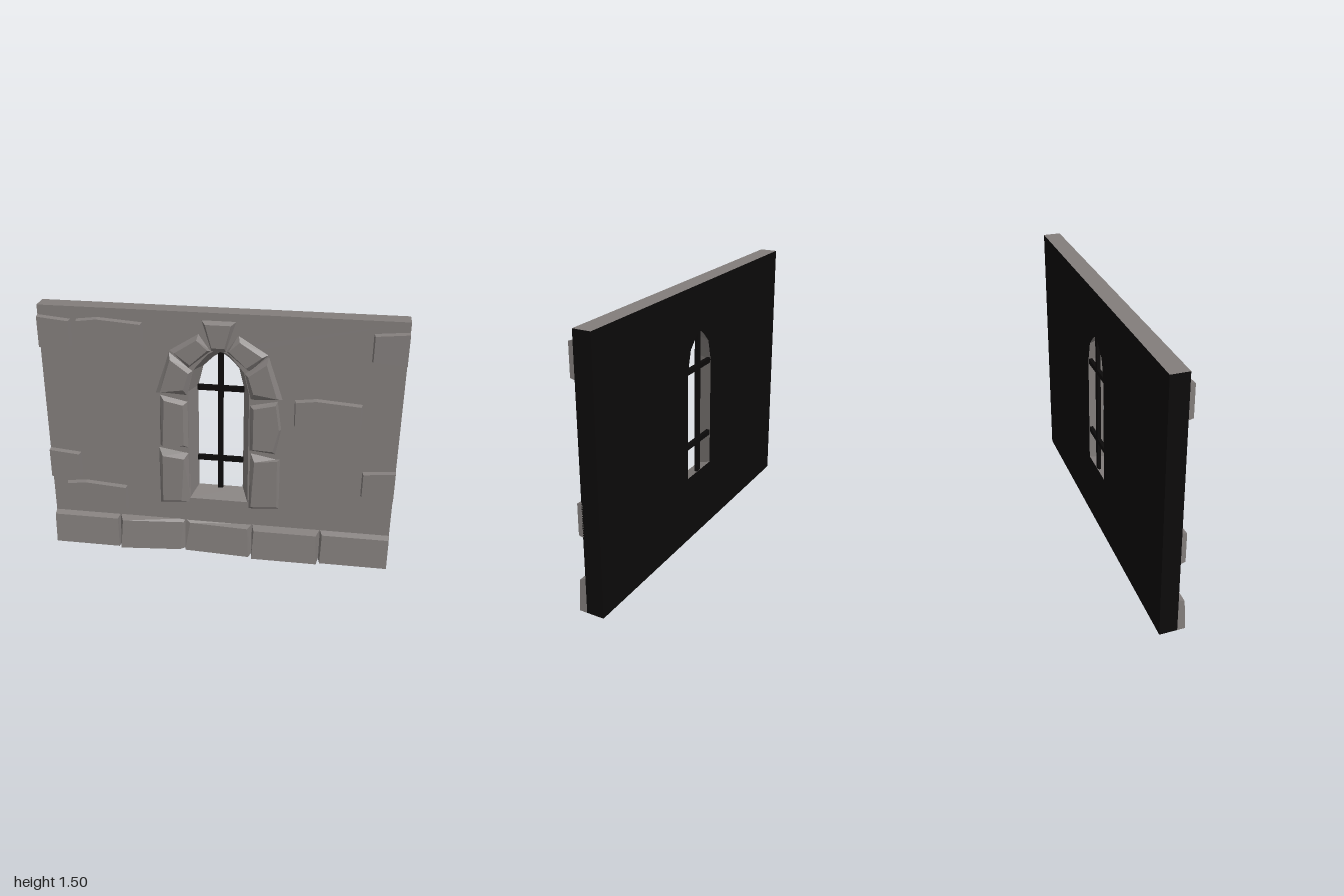
import * as THREE from 'three';

const stone = new THREE.MeshStandardMaterial({ color: 0x827d7b });
stone.name = 'grey stone';
const dark = new THREE.MeshStandardMaterial({ color: 0x0c0a0a });
dark.name = 'black';

const FRONT = 0.02, BACK = -0.08, RAISED = 0.045;

// Flat-shaded mesh from convex polygons, corners counter-clockwise
function facets(name, polys, material) {
  const pos = [];
  for (const p of polys)
    for (let i = 1; i < p.length - 1; i++) pos.push(...p[0], ...p[i], ...p[i + 1]);
  const geo = new THREE.BufferGeometry();
  geo.setAttribute('position', new THREE.Float32BufferAttribute(pos, 3));
  geo.computeVertexNormals();
  const mesh = new THREE.Mesh(geo, material);
  mesh.name = name;
  return mesh;
}

const at = (loop, z) => loop.map(([x, y]) => [x, y, z]);

// Side faces joining two matching loops
const sides = (a, b) => a.map((p, i) => {
  const j = (i + 1) % a.length;
  return [p, a[j], b[j], b[i]];
});

const isClockwise = (l) => l.reduce((s, [x, y], i) => {
  const [u, v] = l[(i + 1) % l.length];
  return s + x * v - u * y;
}, 0) < 0;

// Bevelled block rising from the wall: base outline to face outline
function block(name, base, face) {
  if (isClockwise(base)) { base = [...base].reverse(); face = [...face].reverse(); }
  const a = at(base, FRONT - 0.005), b = at(face, RAISED);
  return facets(name, [...sides(a, b), b], stone);
}

// Full outline from the right half, ending at the apex
function mirrorOutline(half) {
  return [...half, ...half.slice(0, -1).reverse().map(([x, y]) => [-x, y])];
}

function wallFace(hole, z, flip, name, material) {
  const shape = new THREE.Shape([[-1, 0], [1, 0], [1, 1.5], [-1, 1.5]].map((p) => new THREE.Vector2(...p)));
  shape.holes.push(new THREE.Path(hole.map((p) => new THREE.Vector2(...p))));
  const geo = new THREE.ShapeGeometry(shape);
  if (flip) geo.rotateY(Math.PI);
  geo.translate(0, 0, z);
  const mesh = new THREE.Mesh(geo, material);
  mesh.name = name;
  return mesh;
}

function createWall() {
  const g = new THREE.Group();
  g.name = 'wall';
  const outer = mirrorOutline([[0.17, 0.355], [0.17, 1.04], [0.14, 1.17], [0.06, 1.265], [0, 1.3]]);
  const inner = mirrorOutline([[0.13, 0.4], [0.13, 1.04], [0.1, 1.16], [0.045, 1.215], [0, 1.245]]);
  g.add(wallFace(outer, FRONT, false, 'wallFront', stone));
  g.add(wallFace(inner, BACK, true, 'wallBack', dark));
  // Splayed reveal of the window
  g.add(facets('windowReveal', sides(at([...inner].reverse(), BACK), at([...outer].reverse(), FRONT)), stone));
  // Outer edges: bottom, right, top, left
  const rect = [[-1, 0], [1, 0], [1, 1.5], [-1, 1.5]];
  const edge = sides(at(rect, BACK), at(rect, FRONT));
  g.add(facets('wallTop', [edge[2]], stone));
  g.add(facets('wallEdges', [edge[0], edge[1], edge[3]], dark));
  return g;
}

function createSurround() {
  const g = new THREE.Group();
  g.name = 'windowSurround';
  g.add(block('keystone',
    [[-0.095, 1.46], [0.1, 1.46], [0.04, 1.28], [-0.04, 1.28]],
    [[-0.07, 1.44], [0.07, 1.44], [0.035, 1.31], [-0.035, 1.31]]));
  // Arch stones, the same on both sides
  const arch = [
    ['upperArchStone',
      [[0.108, 1.385], [0.275, 1.28], [0.17, 1.175], [0.04, 1.285]],
      [[0.118, 1.35], [0.24, 1.27], [0.155, 1.205], [0.058, 1.295]]],
    ['lowerArchStone',
      [[0.275, 1.275], [0.36, 1.02], [0.175, 1.01], [0.14, 1.165]],
      [[0.265, 1.23], [0.325, 1.035], [0.195, 1.055], [0.165, 1.155]]],
  ];
  for (const s of [1, -1])
    for (const [name, base, face] of arch) {
      const m = (l) => l.map(([x, y]) => [s * x, y]);
      g.add(block(name, m(base), m(face)));
    }
  g.add(block('leftMiddleJamb',
    [[0.17, 0.98], [0.33, 1.015], [0.355, 0.84], [0.325, 0.68], [0.175, 0.695]],
    [[0.198, 0.965], [0.32, 0.995], [0.342, 0.845], [0.31, 0.71], [0.198, 0.715]]));
  g.add(block('leftLowerJamb',
    [[0.18, 0.69], [0.355, 0.655], [0.357, 0.325], [0.175, 0.31]],
    [[0.208, 0.635], [0.337, 0.65], [0.342, 0.35], [0.192, 0.338]]));
  g.add(block('rightMiddleJamb',
    [[-0.335, 1.015], [-0.17, 0.98], [-0.17, 0.685], [-0.342, 0.7]],
    [[-0.305, 0.985], [-0.198, 0.962], [-0.198, 0.712], [-0.32, 0.698]]));
  g.add(block('rightLowerJamb',
    [[-0.35, 0.69], [-0.17, 0.66], [-0.165, 0.325], [-0.35, 0.31]],
    [[-0.322, 0.635], [-0.198, 0.622], [-0.217, 0.345], [-0.327, 0.338]]));
  return g;
}

function createBricks() {
  const g = new THREE.Group();
  g.name = 'wallBricks';
  const bevel = 0.008;
  // Whole bricks with a slightly bowed outline
  for (const [x, y] of [[-0.6, 1.35], [0.605, 0.945], [-0.73, 0.33]]) {
    const outline = (d) => [
      [x - 0.185 + d, y - 0.075 + d], [x - 0.065, y - 0.095 + d], [x + 0.185 - d, y - 0.08 + d],
      [x + 0.185 - d, y + 0.08 - d], [x - 0.065, y + 0.098 - d], [x - 0.185 + d, y + 0.083 - d]];
    g.add(block('brick', outline(0), outline(bevel)));
  }
  // Bricks cut off by the wall ends
  for (const [s, y] of [[-1, 1.35], [1, 1.35], [-1, 0.533], [1, 0.533]]) {
    const outline = (d) => [
      [s, y - 0.095 + d], [s * (0.815 + d), y - 0.078 + d],
      [s * (0.815 + d), y + 0.08 - d], [s, y + 0.097 - d]];
    g.add(block('endBrick', outline(0), outline(bevel)));
  }
  return g;
}

function createPlinth() {
  const g = new THREE.Group();
  g.name = 'plinth';
  // Face limits at bottom and top, then depth at each end
  const stones = [
    [-1, -0.6, -0.605, -0.61, 0.065, 0.065],
    [-0.59, -0.235, -0.575, -0.21, 0.08, 0.045],
    [-0.2, 0.185, -0.17, 0.175, 0.045, 0.065],
    [0.205, 0.59, 0.215, 0.58, 0.08, 0.08],
    [0.61, 1, 0.615, 1, 0.065, 0.065],
  ];
  stones.forEach(([bl, br, tl, tr, zl, zr], i) => {
    if (i === 0) { tl = -1; br = -0.605; tr = -0.61; }
    const l = -1 + 0.4 * i, r = l + 0.4;
    const base = at([[l, 0], [r, 0], [r, 0.205], [l, 0.205]], FRONT - 0.005);
    const face = [[bl, 0, zl], [br, 0, zr], [tr, 0.188, zr - 0.012], [tl, 0.188, zl - 0.012]];
    g.add(facets('plinthStone', [...sides(base, face), face], stone));
  });
  return g;
}

function createBars() {
  const g = new THREE.Group();
  g.name = 'windowBars';
  const bar = (name, w, h, y) => {
    const m = new THREE.Mesh(new THREE.BoxGeometry(w, h, 0.02), dark);
    m.position.set(0, y, -0.067);
    m.name = name;
    g.add(m);
  };
  bar('uprightBar', 0.03, 0.85, 0.82);
  for (const y of [0.59, 1.035]) bar('crossBar', 0.265, 0.03, y);
  return g;
}

export function createModel() {
  const model = new THREE.Group();
  model.name = 'windowWall';
  model.add(createWall(), createSurround(), createBricks(), createPlinth(), createBars());
  return model;
}
